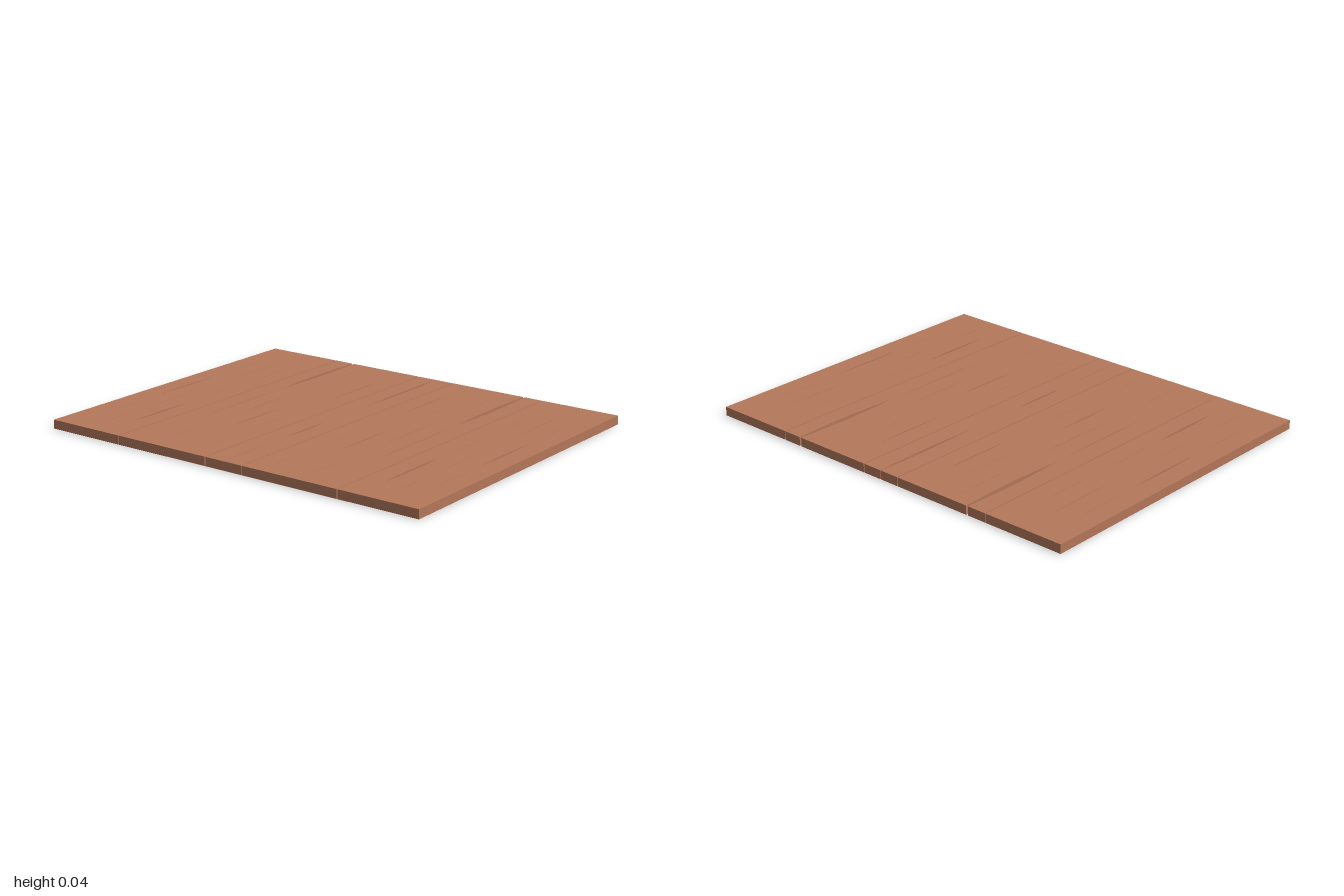
import * as THREE from 'three';

const HEIGHT = 0.042;
const DEPTH = 0.795; // half depth
const GAP = 0.004; // seam between planks

// Slits as [x, start z, end z, greatest width]
const mirrored = [
  [0.9, -0.2, 0.2, 0.01],
  [0.8, -0.61, -0.23, 0.003],
  [0.7, 0.22, 0.6, 0.014],
  [0.5, -0.17, 0.36, 0.005],
  [0.4, -0.2, 0.2, 0.003],
  [0.3, 0.03, 0.37, 0.008],
  [0.2, -0.6, -0.23, 0.007],
];
const slits = [[0, 0.09, 0.37, 0.012]];
for (const [x, a, b, w] of mirrored) slits.push([x, a, b, w], [-x, a, b, w]);

// Slits open at the back edge as [x, inner end z, widest, width at the edge]
const backNotches = [[-0.5, -0.23, 0.024, 0.01], [0, -0.22, 0.016, 0.003], [0.5, -0.23, 0.024, 0.01]];
// Hairline slit open at the front edge
const frontNotches = [[0, 0.45, 0.002, 0.002]];

// Closed hairline slits fill the rest of the staggered pattern
for (let i = -9; i <= 9; i++) {
  if ([1, 6].includes(Math.abs(i))) continue;
  const x = i / 10;
  for (const c of i % 2 ? [-0.42, 0, 0.42] : [-0.6, -0.2, 0.2, 0.6]) {
    const a = c - 0.15, b = c + 0.15;
    const taken = slits.some((s) => Math.abs(s[0] - x) < 0.01 && s[1] < b + 0.02 && s[2] > a - 0.02)
      || backNotches.some((n) => Math.abs(n[0] - x) < 0.01 && a < n[1] + 0.02)
      || frontNotches.some((n) => Math.abs(n[0] - x) < 0.01 && b > n[1] - 0.02);
    if (!taken) slits.push([x, a, b, 0.0015]);
  }
}

// Lens-shaped hole
function lens([x, a, b, w]) {
  const points = [];
  const n = 8;
  for (let i = 0; i < 2 * n; i++) {
    const t = (i / n) * Math.PI;
    const z = (a + b) / 2 - (Math.cos(t) * (b - a)) / 2;
    const bulge = Math.sin(t) * Math.abs(Math.sin(t));
    points.push(new THREE.Vector2(x + (bulge * w) / 2, -z));
  }
  return new THREE.Path(points);
}

// Points of a notch running in from the edge and out again, from low to high x
function notch([x, inner, w, edgeWidth], edge) {
  const side = [];
  for (let i = 0; i < 7; i++) {
    const t = i / 7;
    const half = (edgeWidth * (1 - t) + (w - edgeWidth * 0.4) * Math.sin(Math.PI * t)) / 2;
    side.push([Math.max(half, 0.0005), edge + (inner - edge) * t]);
  }
  return [
    ...side.map(([h, z]) => new THREE.Vector2(x - h, -z)),
    new THREE.Vector2(x, -inner),
    ...side.reverse().map(([h, z]) => new THREE.Vector2(x + h, -z)),
  ];
}

function plankGeometry(x0, x1) {
  const inside = (s) => s[0] > x0 && s[0] < x1;
  const front = frontNotches.filter(inside).flatMap((n) => notch(n, DEPTH));
  const back = backNotches.filter(inside).flatMap((n) => notch(n, -DEPTH)).reverse();
  const shape = new THREE.Shape([
    new THREE.Vector2(x0, -DEPTH), ...front, new THREE.Vector2(x1, -DEPTH),
    new THREE.Vector2(x1, DEPTH), ...back, new THREE.Vector2(x0, DEPTH),
  ]);
  shape.holes = slits.filter(inside).map(lens);
  const geometry = new THREE.ExtrudeGeometry(shape, { depth: HEIGHT, bevelEnabled: false });
  return geometry.rotateX(-Math.PI / 2);
}

export function createModel() {
  const group = new THREE.Group();
  group.name = 'slottedPanel';
  const wood = new THREE.MeshStandardMaterial({ color: 0xb4785a });
  wood.name = 'warm brown wood';

  // Planks side by side, parted by narrow straight seams
  const seams = [-1, -0.6, -0.1, 0.1, 0.6, 1];
  for (let i = 0; i < seams.length - 1; i++) {
    const x0 = seams[i] + (i > 0 ? GAP / 2 : 0);
    const x1 = seams[i + 1] - (i < seams.length - 2 ? GAP / 2 : 0);
    const plank = new THREE.Mesh(plankGeometry(x0, x1), wood);
    plank.name = `plank${i + 1}`;
    group.add(plank);
  }
  return group;
}
